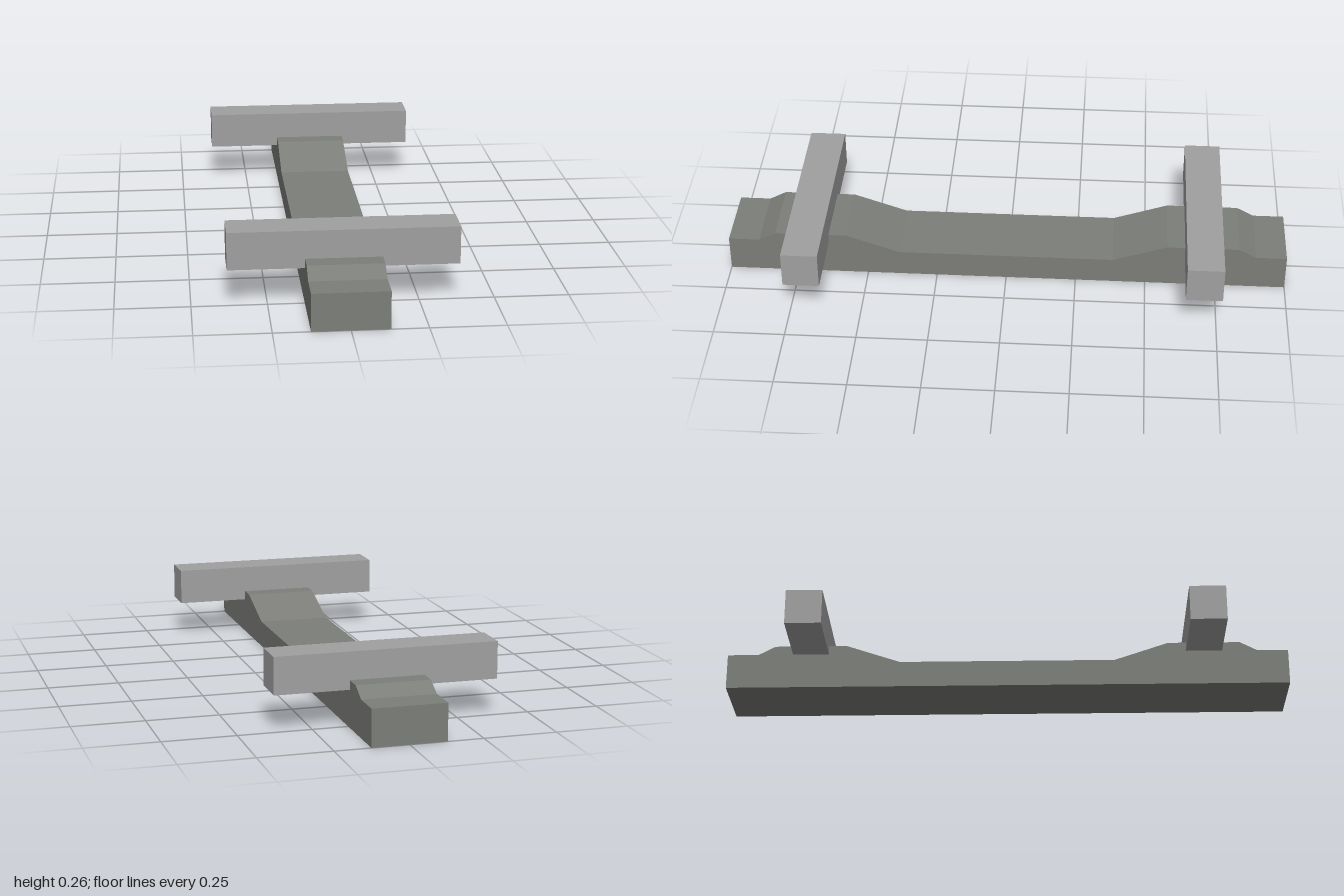
import * as THREE from 'three';

export function createModel() {
  const group = new THREE.Group();
  const darkGrey = new THREE.MeshStandardMaterial({ color: 0x7c7e79 });
  const lightGrey = new THREE.MeshStandardMaterial({ color: 0xa0a0a0 });
  darkGrey.name = 'darkGrey';
  lightGrey.name = 'lightGrey';

  // Beam: half of the side profile (z, y), mirrored to the other end
  const half = [[1, 0], [1, 0.128], [0.89, 0.128], [0.83, 0.16], [0.574, 0.16], [0.383, 0.095]];
  const mirrored = half.map(([z, y]) => [-z, y]).reverse();
  const profile = new THREE.Shape([...half, ...mirrored].map(([z, y]) => new THREE.Vector2(z, y)));
  const width = 0.255;
  const beamGeometry = new THREE.ExtrudeGeometry(profile, { depth: width, bevelEnabled: false });
  beamGeometry.translate(0, 0, -width / 2);
  beamGeometry.rotateY(-Math.PI / 2);
  const beam = new THREE.Mesh(beamGeometry, darkGrey);
  beam.name = 'beam';
  group.add(beam);

  // Crossbars let into the two raised seats
  const barGeometry = new THREE.BoxGeometry(0.765, 0.128, 0.128);
  for (const [name, z] of [['frontCrossbar', 0.702], ['backCrossbar', -0.702]]) {
    const bar = new THREE.Mesh(barGeometry, lightGrey);
    bar.name = name;
    bar.position.set(0, 0.192, z);
    group.add(bar);
  }
  return group;
}
